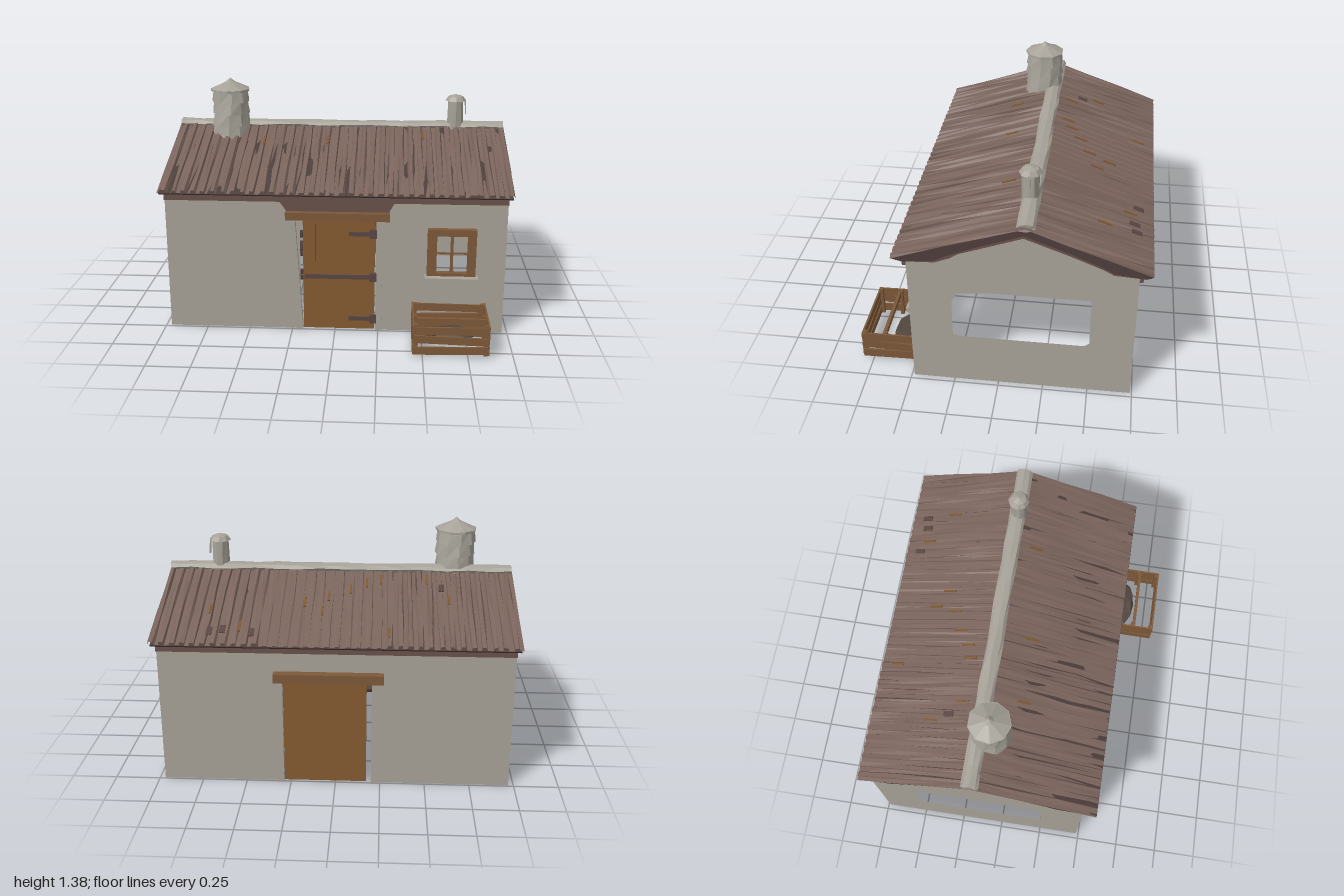
import * as THREE from 'three';

const mat = (name, color) => Object.assign(
  new THREE.MeshStandardMaterial({ color, flatShading: true, side: THREE.DoubleSide }), { name });

// Repeatable noise in -1..1 from a position, so shared corners move together
const noise = (x, y, z) => {
  const s = Math.sin(Math.round(x * 1e3) * 12.9898 + Math.round(y * 1e3) * 78.233 + Math.round(z * 1e3) * 37.719) * 43758.5453;
  return (s - Math.floor(s)) * 2 - 1;
};

function rough(geometry, amount) {
  const p = geometry.attributes.position;
  for (let i = 0; i < p.count; i++) {
    const x = p.getX(i), y = p.getY(i), z = p.getZ(i);
    p.setXYZ(i, x + amount * noise(x, y, z), y + amount * noise(y, z, x), z + amount * noise(z, x, y));
  }
  geometry.computeVertexNormals();
  return geometry;
}

const shapeOf = pts => new THREE.Shape(pts.map(p => new THREE.Vector2(...p)));
const rect = (x0, x1, y0, y1) => [[x0, y0], [x1, y0], [x1, y1], [x0, y1]];

export function createModel() {
  const house = new THREE.Group();
  house.name = 'farmHouse';
  const plaster = mat('plaster', 0xa9a499);
  const tin = mat('roofTin', 0x7a645c);
  const darkWood = mat('darkWood', 0x4d3e3b);
  const brownWood = mat('brownWood', 0x6b524b);
  const door = mat('doorWood', 0x865c32);
  const frame = mat('frameWood', 0x7d5939);
  const metal = mat('greyMetal', 0xa6a298);
  const rust = mat('rust', 0x7d592c);
  const iron = mat('iron', 0x594643);
  const soil = mat('soil', 0x51473f);

  const add = (name, geometry, material, x = 0, y = 0, z = 0, parent = house) => {
    const m = new THREE.Mesh(geometry, material);
    m.name = name;
    m.position.set(x, y, z);
    parent.add(m);
    return m;
  };
  // Box given by its limits
  const box = (name, material, x0, x1, y0, y1, z0, z1, parent = house) =>
    add(name, new THREE.BoxGeometry(x1 - x0, y1 - y0, z1 - z0), material,
      (x0 + x1) / 2, (y0 + y1) / 2, (z0 + z1) / 2, parent);

  // Walls: thin sheets with openings
  const wall = (name, outline, holes) => {
    const s = shapeOf(outline);
    s.holes = holes.map(h => new THREE.Path(h.map(p => new THREE.Vector2(...p))));
    return add(name, new THREE.ShapeGeometry(s), plaster);
  };
  const doorway = (x0, x1, h) => [[-0.97, 0], [x0, 0], [x0, h], [x1, h], [x1, 0], [0.97, 0], [0.97, 0.83], [-0.97, 0.83]];
  wall('frontWall', doorway(-0.2, 0.265, 0.69), [rect(0.56, 0.77, 0.37, 0.62)]).position.z = 0.485;
  wall('backWall', doorway(-0.2, 0.3, 0.64), []).position.z = -0.74;
  for (const side of [-1, 1]) {
    const g = wall('gableWall', [[-0.74, 0], [0.485, 0], [0.485, 0.83], [-0.14, 1.05], [-0.74, 0.83]],
      [[[0.25, 0.33], [0.25, 0.56], [0.22, 0.62], [0.05, 0.637], [-0.5, 0.637], [-0.5, 0.34], [-0.47, 0.32], [0.2, 0.32]]]);
    g.rotation.y = -Math.PI / 2;
    g.position.x = side * 0.97;
  }

  // Timber deck of the roof, with thick eaves, and a paler ragged lining below it
  const deck = (name, pts, length, material) => {
    const g = new THREE.ExtrudeGeometry(shapeOf(pts), { depth: length, bevelEnabled: false });
    g.translate(0, 0, -length / 2).rotateY(-Math.PI / 2);
    return add(name, g, material);
  };
  deck('roofDeck', [[0.562, 0.84], [0.555, 0.832], [0.5, 0.818], [0.33, 0.838], [0.27, 0.872], [0.1, 0.945], [-0.14, 1.035],
    [-0.38, 0.945], [-0.55, 0.872], [-0.61, 0.838], [-0.77, 0.818], [-0.8, 0.828], [-0.81, 0.838], [-0.145, 1.082]], 1.97, darkWood);
  deck('roofLining', [[0.485, 0.815], [0.33, 0.822], [0.25, 0.855], [0.2, 0.888], [0.1, 0.925], [-0.14, 1.015], [-0.38, 0.925],
    [-0.47, 0.888], [-0.55, 0.855], [-0.61, 0.822], [-0.74, 0.815], [-0.61, 0.845], [-0.14, 1.04], [0.33, 0.845]], 1.955, brownWood);
  for (const [z0, z1] of [[0.485, 0.505], [-0.76, -0.74]])
    box('eavesBeam', brownWood, -0.97, 0.97, 0.784, 0.832, z0, z1);
  add('doorHeaderBoard', new THREE.ShapeGeometry(shapeOf([[-0.27, 0.72], [0.3, 0.72], [0.34, 0.79], [-0.32, 0.79]])),
    brownWood, 0, 0, 0.495);

  // Corrugated roof sheets
  const ridge = { y: 1.084, z: -0.145 }, eaveY = 0.842;
  const roofPoint = (eaveZ, t) => [ridge.y + (eaveY - ridge.y) * t, ridge.z + (eaveZ - ridge.z) * t];
  const profile = [[0, 0], [0.42, 0], [0.52, 0.016], [0.9, 0.016]];
  const ribs = 36, rows = 3;
  const sheet = (name, eaveZ) => {
    const pos = [], index = [], cols = ribs * profile.length + 1;
    for (let r = 0; r <= rows; r++)
      for (let c = 0; c < cols; c++) {
        const [u, h] = profile[c % profile.length];
        const x = -0.995 + 1.99 * (Math.floor(c / profile.length) + u) / ribs;
        const edge = c === 0 || c === cols - 1;
        // The middle of the back slope is worn almost flat
        const worn = eaveZ < 0 && x > -0.28 && x < 0.4 ? 0.35 : 1;
        const [y, z] = roofPoint(eaveZ, r / rows);
        pos.push(x + (edge ? 0 : 0.005 * noise(x, r, eaveZ)), y + worn * (h + 0.003 * noise(r, x, eaveZ)), z);
        if (r && c) {
          const a = (r - 1) * cols + c - 1, b = a + 1, d = a + cols, e = d + 1;
          if (eaveZ > 0) index.push(a, d, b, b, d, e);
          else index.push(a, b, d, b, e, d);
        }
      }
    const g = new THREE.BufferGeometry();
    g.setAttribute('position', new THREE.Float32BufferAttribute(pos, 3));
    g.setIndex(index);
    g.computeVertexNormals();
    add(name, g, tin);
  };
  sheet('frontRoofSheet', 0.56);
  sheet('backRoofSheet', -0.81);

  // Rust streaks and dark patches lying on the sheets
  const streak = (name, material, x, t, eaveZ, width, length) => {
    const [y, z] = roofPoint(eaveZ, t);
    const s = add(name, new THREE.BoxGeometry(width, 0.006, length), material, x, y + 0.017, z);
    s.rotation.x = Math.atan2(ridge.y - eaveY, Math.abs(eaveZ - ridge.z)) * Math.sign(eaveZ);
  };
  for (const [x, t, eaveZ] of [[-0.62, 0.45, -0.81], [-0.5, 0.2, -0.81], [-0.29, 0.85, -0.81], [-0.24, 0.2, -0.81],
    [-0.16, 0.24, -0.81], [-0.07, 0.33, -0.81], [0.05, 0.42, -0.81], [0.08, 0.6, -0.81], [0.18, 0.5, -0.81],
    [0.52, 0.8, -0.81], [0.7, 0.6, -0.81], [-0.07, 0.28, 0.56], [-0.45, 0.3, 0.56], [0.5, 0.2, 0.56]])
    streak('rustStreak', rust, x, t, eaveZ, 0.012, 0.08);
  for (const [x, t] of [[0.45, 0.87], [0.61, 0.84], [-0.58, 0.3], [0.68, 0.86]])
    streak('darkPatch', iron, x, t, -0.81, 0.03, 0.06);

  // Lumpy ridge cap
  const cap = new THREE.CylinderGeometry(0.047, 0.047, 1.98, 8, 16).rotateZ(Math.PI / 2).scale(1, 0.5, 1);
  add('ridgeCap', rough(cap, 0.004), metal, 0, 1.087, -0.152);

  // Large chimney of stacked dented bands, and a small flue
  for (let i = 0; i < 4; i++) {
    const band = add('chimneyBand', rough(new THREE.CylinderGeometry(0.107, 0.116, 0.08, 10), 0.005), metal, -0.67, 1.065 + i * 0.07, -0.085);
    band.rotation.y = i * 0.7;
  }
  add('chimneyRim', new THREE.CylinderGeometry(0.119, 0.119, 0.014, 9), metal, -0.67, 1.308, -0.085);
  add('chimneyCap', new THREE.CylinderGeometry(0.03, 0.12, 0.042, 9), metal, -0.67, 1.334, -0.085);
  add('chimneyTip', new THREE.ConeGeometry(0.03, 0.024, 7), metal, -0.67, 1.367, -0.085);
  add('flue', rough(new THREE.CylinderGeometry(0.047, 0.05, 0.18, 9), 0.003), metal, 0.7, 1.16, -0.145);
  add('flueCap', new THREE.CylinderGeometry(0.045, 0.063, 0.025, 8), metal, 0.7, 1.255, -0.145);
  add('flueTip', new THREE.ConeGeometry(0.045, 0.015, 8), metal, 0.7, 1.274, -0.145);
  box('flueStrap', metal, 0.757, 0.764, 1.16, 1.25, -0.152, -0.138).rotation.z = 0.06;

  // Front door with its hinges, posts and lintel
  box('frontDoor', door, -0.182, 0.228, 0.012, 0.675, 0.478, 0.5);
  box('doorCrack', iron, -0.113, -0.108, 0.43, 0.65, 0.499, 0.502);
  box('frontLintel', frame, -0.28, 0.31, 0.682, 0.727, 0.485, 0.528);
  box('frontPost', plaster, -0.245, -0.205, 0.01, 0.685, 0.485, 0.515).rotation.z = 0.06;
  box('frontPost', plaster, 0.235, 0.27, 0.01, 0.685, 0.485, 0.515);
  box('frontPostEdge', plaster, 0.27, 0.29, 0.3, 0.685, 0.485, 0.505);
  for (const [y, x0] of [[0.6, 0.08], [0.337, -0.175], [0.078, 0.08]]) {
    box('hingeStrap', iron, x0, 0.235, y - 0.012, y + 0.012, 0.5, 0.509);
    box('hingeBlock', iron, 0.198, 0.24, y - 0.022, y + 0.028, 0.5, 0.52);
  }

  // Back door
  box('backDoor', door, -0.172, 0.285, 0.012, 0.63, -0.752, -0.735);
  box('backLintel', frame, -0.265, 0.335, 0.62, 0.672, -0.787, -0.74);
  box('backPost', plaster, -0.24, -0.2, 0.005, 0.625, -0.768, -0.74);
  box('backPost', plaster, 0.287, 0.322, 0.005, 0.625, -0.768, -0.74);

  // Front window: frame with an opening, glazing bars and sill
  const windowShape = shapeOf(rect(0.525, 0.8, 0.36, 0.638));
  windowShape.holes.push(new THREE.Path(rect(0.578, 0.752, 0.378, 0.6).map(p => new THREE.Vector2(...p))));
  add('windowFrame', new THREE.ExtrudeGeometry(windowShape, { depth: 0.035, bevelEnabled: false }), frame, 0, 0, 0.485);
  box('windowBar', frame, 0.656, 0.672, 0.37, 0.605, 0.487, 0.505);
  box('windowCrossBar', frame, 0.575, 0.755, 0.486, 0.494, 0.487, 0.5);
  box('windowSill', plaster, 0.512, 0.815, 0.325, 0.356, 0.485, 0.548);

  // Slatted crate in front of the wall
  const crate = new THREE.Group();
  crate.name = 'crate';
  house.add(crate);
  for (const x of [0.452, 0.836])
    for (const z of [0.5, 0.66, 0.782])
      box('cratePost', frame, x, x + 0.022, 0.008, 0.188, z, z + 0.02, crate);
  for (const [i, y] of [0.016, 0.077, 0.134].entries()) {
    const tilt = [0.02, -0.03, 0.01][i];
    box('crateFrontSlat', frame, 0.445, 0.865, y, y + 0.044, 0.8, 0.811, crate).rotation.z = tilt;
    box('crateBackSlat', frame, 0.445, 0.865, y, y + 0.044, 0.49, 0.5, crate).rotation.z = -tilt;
    for (const x of [0.443, 0.857])
      box('crateSideSlat', frame, x, x + 0.01, y, y + 0.052, 0.49, 0.808, crate).rotation.x = tilt;
  }
  box('crateDivider', frame, 0.455, 0.855, 0.145, 0.175, 0.672, 0.69, crate);
  box('crateBase', frame, 0.455, 0.855, 0.006, 0.014, 0.5, 0.56, crate);
  add('crateLoad', rough(new THREE.IcosahedronGeometry(1, 1).scale(0.165, 0.025, 0.08), 0.006), soil, 0.66, 0.042, 0.585, crate);

  // Collapsed table inside
  const table = new THREE.Group();
  table.name = 'brokenTable';
  house.add(table);
  for (const [z, y, tilt] of [[0.18, 0.362, 0.015], [0.1, 0.36, -0.02], [0.02, 0.364, 0.02]])
    box('tablePlank', darkWood, -0.42, 0.16, y, y + 0.012, z, z + 0.07, table).rotation.z = tilt;
  box('fallenPlank', darkWood, -0.36, 0.12, 0.348, 0.372, -0.22, -0.03, table).rotation.x = -0.42;
  box('tableBeam', darkWood, -0.4, 0.1, 0.378, 0.41, -0.07, -0.03, table);
  for (const x of [-0.38, 0.09]) {
    box('tableCrossBar', darkWood, x, x + 0.03, 0.345, 0.362, -0.05, 0.25, table);
    box('tableLeg', darkWood, x, x + 0.028, 0.16, 0.35, 0.2, 0.228, table).rotation.z = 0.15;
  }
  for (const z of [0.12, 0.21])
    box('tableRail', darkWood, -0.4, 0.12, 0.2, 0.225, z, z + 0.025, table);

  return house;
}
